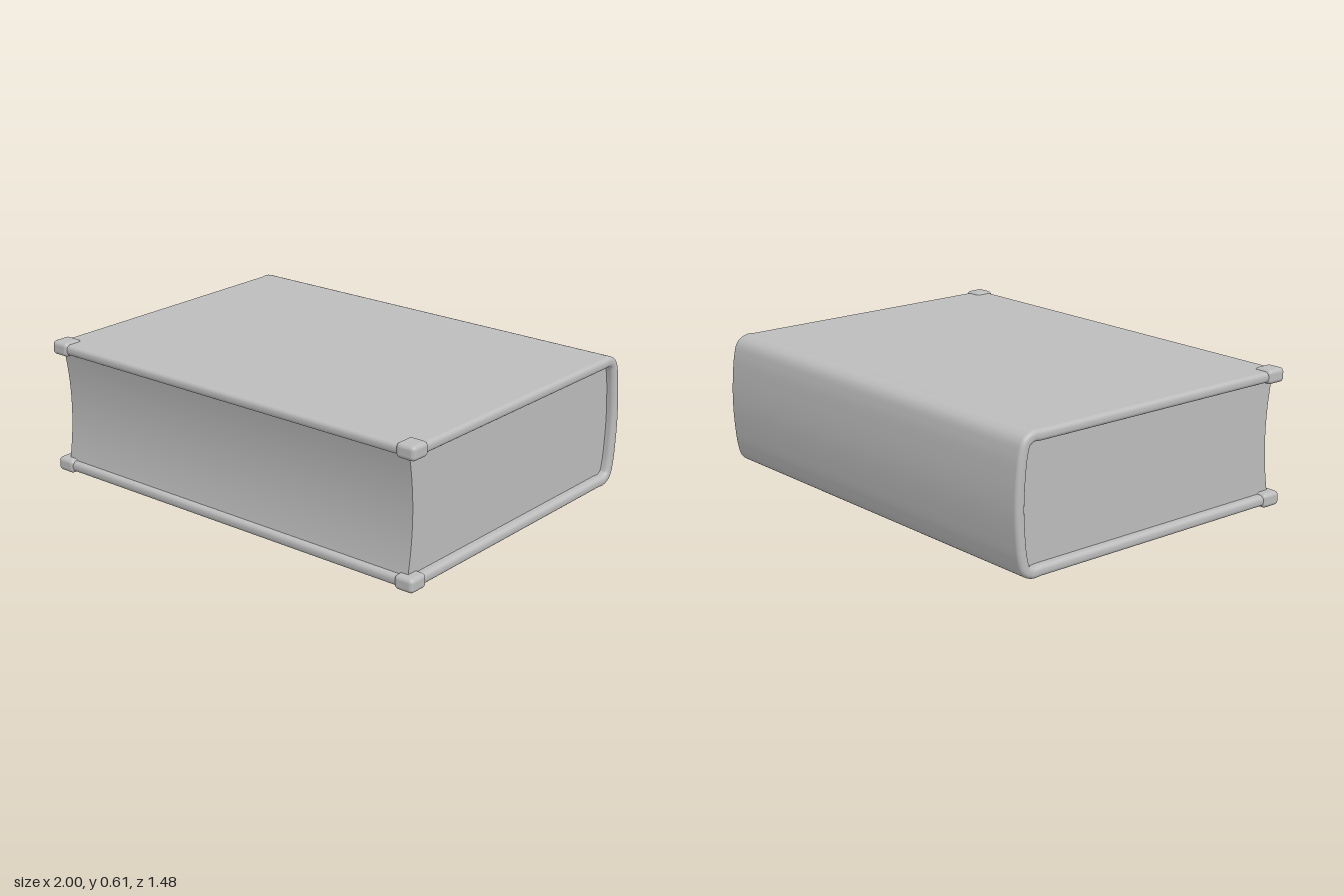
import * as THREE from 'three';
import { toCreasedNormals } from 'three/addons/utils/BufferGeometryUtils.js';
import { RoundedBoxGeometry } from 'three/addons/geometries/RoundedBoxGeometry.js';

const MID = 0.305;     // mid height of the book
const HALF = 0.0235;   // half thickness of the cover
const WIDTH = 0.992;   // half width of the cover
const ROUND = 0.019;   // edge rounding of the cover

// Rounded-rectangle cross-section, drawn in by an inset
function section(inset) {
  const w = WIDTH - inset, h = HALF - inset, r = Math.max(0, ROUND - inset);
  const pts = [];
  for (let c = 0; c < 4; c++) {
    const sx = c === 0 || c === 3 ? 1 : -1, sy = c < 2 ? 1 : -1;
    for (let k = 0; k <= 5; k++) {
      const a = (c + k / 5) * Math.PI / 2;
      pts.push([sx * (w - r) + r * Math.cos(a), sy * (h - r) + r * Math.sin(a)]);
    }
  }
  return pts;
}

// Stations along the cover: top board, round spine, bottom board
function coverStations() {
  const upper = [[0.716, 0.578], [0.3, 0.578], [-0.2, 0.578], [-0.55, 0.578], [-0.61, 0.578],
    [-0.65, 0.579], [-0.683, 0.561], [-0.699, 0.515], [-0.711, 0.42]];
  const lower = upper.map(([z, y]) => [z, 2 * MID - y]).reverse();
  const curve = new THREE.CatmullRomCurve3(
    [...upper, [-0.7165, MID], ...lower].map(([z, y]) => new THREE.Vector3(0, y, z)));
  const middle = curve.getPoints(144).map(p => ({ z: p.z, y: p.y, inset: 0 }));
  const nose = [{ z: 0.735, y: 0.578, inset: HALF }];
  for (let k = 0; k < 5; k++) {
    const a = k / 5 * Math.PI / 2;
    nose.push({ z: 0.716 + ROUND * Math.cos(a), y: 0.578, inset: ROUND * (1 - Math.sin(a)) });
  }
  const tail = nose.map(s => ({ ...s, y: 2 * MID - s.y })).reverse();
  return [...nose, ...middle, ...tail];
}

// Sweep the cross-section along the stations
function coverGeometry() {
  const st = coverStations(), pos = [], idx = [];
  const n = section(0).length, last = st.length - 1;
  st.forEach((s, i) => {
    const a = st[Math.max(0, i - 2)], b = st[Math.min(last, i + 2)];
    const len = Math.hypot(b.z - a.z, b.y - a.y);
    const tz = (b.z - a.z) / len, ty = (b.y - a.y) / len;
    for (const [x, o] of section(s.inset)) pos.push(x, s.y + o * tz, s.z - o * ty);
    if (i === last) return;
    for (let j = 0; j < n; j++) {
      const p = i * n + j, q = i * n + (j + 1) % n;
      idx.push(p, q, p + n, q, q + n, p + n);
    }
  });
  const g = new THREE.BufferGeometry();
  g.setAttribute('position', new THREE.Float32BufferAttribute(pos, 3));
  g.setIndex(idx);
  g.computeVertexNormals();
  return g;
}

// Page block: hollow fore edge, rounded back tucked into the spine
function pagesGeometry() {
  const s = new THREE.Shape();
  s.moveTo(-0.64, 0.045);
  s.lineTo(0.712, 0.045);
  s.quadraticCurveTo(0.658, MID, 0.712, 0.565);
  s.lineTo(-0.64, 0.565);
  s.quadraticCurveTo(-0.675, 0.56, -0.685, 0.5);
  s.quadraticCurveTo(-0.715, MID, -0.685, 0.11);
  s.quadraticCurveTo(-0.675, 0.05, -0.64, 0.045);
  const depth = 1.91;
  const g = new THREE.ExtrudeGeometry(s, { depth, bevelEnabled: false, curveSegments: 20 });
  g.translate(0, 0, -depth / 2);
  g.rotateY(-Math.PI / 2);
  return toCreasedNormals(g, 0.6);
}

export function createModel() {
  const book = new THREE.Group();
  book.name = 'book';
  const grey = new THREE.MeshStandardMaterial({ color: 0xbcbcbc });
  grey.name = 'grey';

  const add = (name, geometry) => {
    const mesh = new THREE.Mesh(geometry, grey);
    mesh.name = name;
    book.add(mesh);
    return mesh;
  };

  add('cover', coverGeometry());
  add('pages', pagesGeometry());

  // Protective caps on the four fore-edge corners
  const cap = new RoundedBoxGeometry(0.092, 0.063, 0.096, 4, 0.019);
  for (const side of [1, -1]) {
    for (const level of [1, -1]) {
      const name = (level > 0 ? 'top' : 'bottom') + (side > 0 ? 'Left' : 'Right') + 'CornerCap';
      add(name, cap).position.set(side * 0.954, MID + level * 0.2735, 0.694);
    }
  }
  return book;
}
